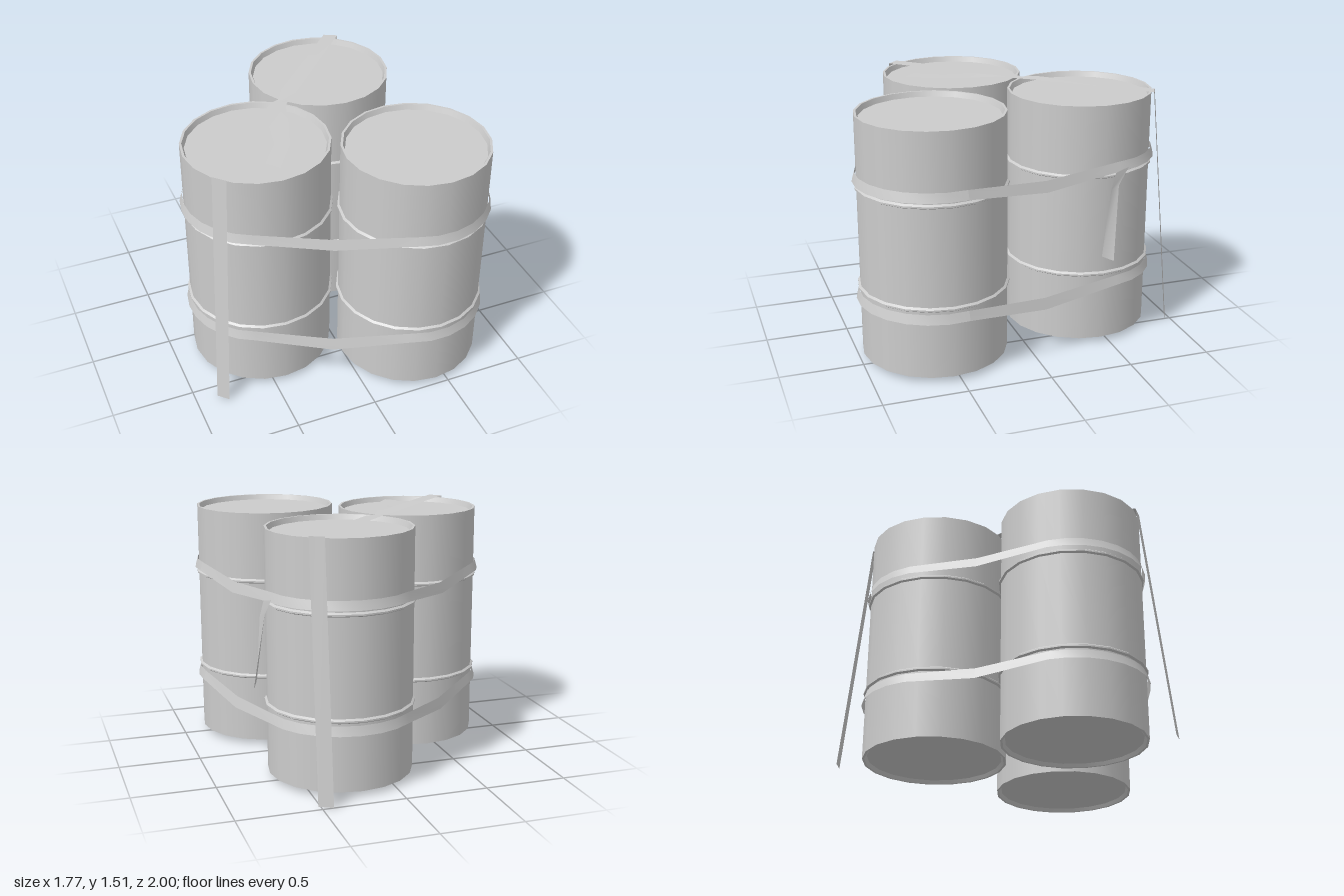
import * as THREE from 'three';

const RADIUS = 0.438;
// Drum centres as [x, z], in order round the bundle
const DRUMS = [[0.423, 0.54], [-0.423, 0.17], [0.225, -0.45]];

// Drum outline from the bottom centre, up the side, to the lid centre.
// Points are doubled so that every edge stays crisp.
function drumGeometry() {
  const R = RADIUS, bead = R + 0.013;
  const outline = [
    [0, 0.05], [0.41, 0.05], [0.424, 0.03], [R, 0.03],
    [R, 0.442], [bead, 0.45], [bead, 0.46], [R, 0.47],
    [R, 1.06], [bead, 1.067], [bead, 1.077], [R, 1.087],
    [R, 1.5], [0.424, 1.5], [0.412, 1.468], [0, 1.468],
  ];
  const points = outline.flatMap(([r, y], i) => {
    const p = new THREE.Vector2(r, y);
    return i === 0 || i === outline.length - 1 ? [p] : [p, p.clone()];
  });
  return new THREE.LatheGeometry(points, 20);
}

// Flat band between two edges, given as pairs of points
function ribbon(pairs) {
  const index = [];
  for (let i = 0; i < pairs.length - 1; i++) {
    const a = 2 * i;
    index.push(a, a + 1, a + 2, a + 1, a + 3, a + 2);
  }
  const g = new THREE.BufferGeometry();
  g.setAttribute('position', new THREE.Float32BufferAttribute(pairs.flat(2), 3));
  g.setIndex(index);
  g.computeVertexNormals();
  return g;
}

// Flared strap wrapped round all three drums, sagging between them
function wrapStrap(bottom, top, sags) {
  const rTop = 0.445, rBottom = 0.461, pairs = [];
  const normalAngle = (p, q) => Math.atan2(p[0] - q[0], q[1] - p[1]);
  const pair = ([x, z], angle, drop) => {
    const c = Math.cos(angle), s = Math.sin(angle);
    pairs.push([
      [x + c * rTop, top - drop * 0.75, z + s * rTop],
      [x + c * rBottom, bottom - drop, z + s * rBottom],
    ]);
  };
  DRUMS.forEach((drum, i) => {
    const prev = DRUMS[(i + 2) % 3], next = DRUMS[(i + 1) % 3];
    const start = normalAngle(prev, drum);
    let end = normalAngle(drum, next);
    if (end < start) end += Math.PI * 2;
    for (let k = 0; k <= 8; k++) pair(drum, start + (end - start) * k / 8, 0);
    pair([(drum[0] + next[0]) / 2, (drum[1] + next[1]) / 2], end, sags[i]);
  });
  pairs.push(pairs[0]);
  return ribbon(pairs);
}

export function createModel() {
  const group = new THREE.Group();
  const grey = new THREE.MeshStandardMaterial({ color: 0xcccccc, side: THREE.DoubleSide });
  grey.name = 'plain grey';
  const add = (name, geometry) => {
    const mesh = new THREE.Mesh(geometry, grey);
    mesh.name = name;
    group.add(mesh);
    return mesh;
  };

  // Three drums
  const drum = drumGeometry();
  ['frontDrum', 'rightDrum', 'backDrum'].forEach((name, i) => {
    add(name, drum).position.set(DRUMS[i][0], 0, DRUMS[i][1]);
  });

  // Horizontal straps
  add('upperStrap', wrapStrap(1.1, 1.155, [0.036, 0.04, 0.045]));
  add('lowerStrap', wrapStrap(0.373, 0.43, [0.066, 0.045, 0.047]));

  // Strap over the lids, pinched at the gap between the drums
  add('topStrap', ribbon([
    [[-0.778, 1.512, 0.444], [-0.715, 1.512, 0.508]],
    [[-0.2, 1.512, -0.165], [-0.13, 1.512, -0.1]],
    [[-0.135, 1.505, -0.2], [-0.09, 1.505, -0.165]],
    [[-0.08, 1.512, -0.295], [-0.01, 1.512, -0.235]],
    [[0.434, 1.512, -0.852], [0.513, 1.512, -0.81]],
  ].map(([a, b]) => [b, a])));

  // Hanging ends of that strap
  add('rightHangingStrap', ribbon([
    [[-0.778, 1.512, 0.444], [-0.715, 1.512, 0.508]],
    [[-0.868, 0, 0.582], [-0.81, 0, 0.64]],
  ].map(([a, b]) => [b, a])));
  add('backHangingStrap', ribbon([
    [[0.513, 1.512, -0.81], [0.434, 1.512, -0.852]],
    [[0.513, 0, -0.957], [0.434, 0, -1]],
  ]));

  // Loose tail lying on the lid
  add('lidTail', ribbon([
    [[-0.2, 1.514, -0.03], [-0.13, 1.514, -0.1]],
    [[-0.3, 1.508, 0.07], [-0.19, 1.508, 0.1]],
    [[-0.335, 1.502, 0.25], [-0.26, 1.502, 0.29]],
    [[-0.45, 1.498, 0.41], [-0.39, 1.498, 0.48]],
  ].map(([a, b]) => [b, a])));

  // Loose tail hanging from the upper strap
  add('sideTail', ribbon([
    [[0.672, 1.12, -0.59], [0.695, 1.1, -0.5]],
    [[0.695, 1.02, -0.52], [0.71, 1.0, -0.465]],
    [[0.757, 0.57, -0.476], [0.725, 0.595, -0.413]],
  ].map(([a, b]) => [b, a])));

  return group;
}
